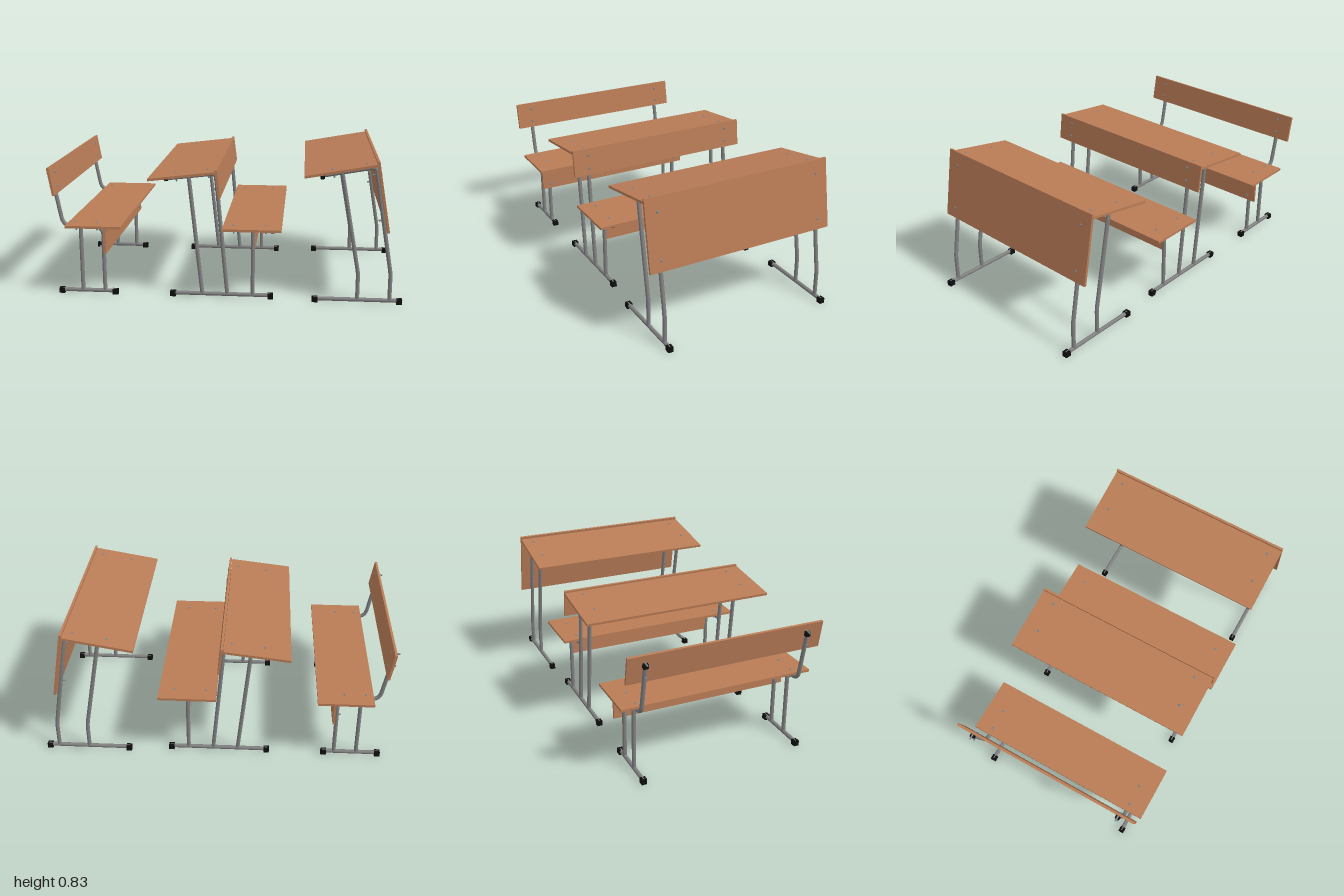
import * as THREE from 'three';

const wood = new THREE.MeshStandardMaterial({ color: 0xb97c56 });
wood.name = 'wood';
const steel = new THREE.MeshStandardMaterial({ color: 0x808080, side: THREE.DoubleSide });
steel.name = 'steel';
const black = new THREE.MeshStandardMaterial({ color: 0x0e0e0e });
black.name = 'blackPlastic';
const boltMetal = new THREE.MeshStandardMaterial({ color: 0x7c868e });
boltMetal.name = 'boltMetal';

const R = 0.0115; // tube radius
const V = (x, y, z = 0) => new THREE.Vector3(x, y, z);

function add(parent, name, geometry, material) {
  const mesh = new THREE.Mesh(geometry, material);
  mesh.name = name;
  parent.add(mesh);
  return mesh;
}

// Board whose side section runs from a to b in the xy plane
function board(parent, name, a, b, halfWidth = 0.56, thickness = 0.014) {
  const dx = b[0] - a[0], dy = b[1] - a[1];
  const m = add(parent, name, new THREE.BoxGeometry(Math.hypot(dx, dy), thickness, halfWidth * 2), wood);
  m.position.set((a[0] + b[0]) / 2, (a[1] + b[1]) / 2, 0);
  m.rotation.z = Math.atan2(dy, dx);
  return m;
}

// Round tube through points, with rounded bends
function tube(parent, name, pts, z, bend = 0.03) {
  const p = pts.map(([x, y]) => V(x, y, z));
  const path = new THREE.CurvePath();
  let from = p[0];
  for (let i = 1; i < p.length - 1; i++) {
    const start = p[i].clone().add(p[i - 1].clone().sub(p[i]).setLength(bend));
    const end = p[i].clone().add(p[i + 1].clone().sub(p[i]).setLength(bend));
    path.add(new THREE.LineCurve3(from, start));
    path.add(new THREE.QuadraticBezierCurve3(start, p[i], end));
    from = end;
  }
  path.add(new THREE.LineCurve3(from, p[p.length - 1]));
  add(parent, name, new THREE.TubeGeometry(path, pts.length > 2 ? 80 : 1, R, 14), steel);
}

// Black plug over a tube end, turned to the tube's angle
function cap(parent, name, x, y, z, angle = 0, length = 0.02, size = 0.026) {
  const m = add(parent, name, new THREE.BoxGeometry(length, size, size), black);
  m.position.set(x, y, z);
  m.rotation.z = angle;
}

// Floor bar with a plug at each end
function foot(parent, x0, x1, z) {
  tube(parent, 'footBar', [[x0 + 0.01, 0.019], [x1 - 0.01, 0.019]], z);
  for (const x of [x0 + 0.016, x1 - 0.016]) cap(parent, 'footCap', x, 0.015, z, 0, 0.032, 0.03);
}

// Bolts through board a-b and the tube behind it; side = -1 puts the tube on the other side
function bolts(parent, a, b, fractions, z, side = 1) {
  const d = V(b[0] - a[0], b[1] - a[1]);
  const n = V(-d.y, d.x).normalize().multiplyScalar(side);
  for (const t of fractions) {
    const c = V(a[0], a[1], z).addScaledVector(d, t);
    const shank = add(parent, 'bolt', new THREE.CylinderGeometry(0.005, 0.005, 0.05, 8), boltMetal);
    shank.position.copy(c).addScaledVector(n, -0.016);
    const head = add(parent, 'boltHead', new THREE.SphereGeometry(0.008, 12, 5, 0, Math.PI * 2, 0, Math.PI / 2), boltMetal);
    head.position.copy(c).addScaledVector(n, 0.007);
    head.scale.y = 0.6;
    for (const m of [shank, head]) m.quaternion.setFromUnitVectors(V(0, 1), n);
  }
}

// Bench with backrest
function bench() {
  const g = new THREE.Group();
  g.name = 'bench';
  const seat = [[-0.897, 0.422], [-0.58, 0.422]];
  const back = [[-0.952, 0.6], [-0.979, 0.757]];
  const apron = [[-0.681, 0.258], [-0.681, 0.415]];
  board(g, 'seat', ...seat);
  board(g, 'backrest', ...back);
  board(g, 'seatApron', ...apron, 0.52);
  for (const z of [-0.465, 0.465]) {
    tube(g, 'benchTube', [[-0.987, 0.71], [-0.93, 0.404], [-0.7, 0.404], [-0.7, 0.02]], z, 0.05);
    tube(g, 'rearLeg', [[-0.83, 0.404], [-0.83, 0.02]], z);
    cap(g, 'tubeCap', -0.985, 0.7, z, -1.387, 0.025);
    foot(g, -0.97, -0.623, z);
    bolts(g, ...seat, [0.13, 0.51], z);
    bolts(g, ...back, [0.25, 0.75], z, -1);
    bolts(g, ...apron, [0.2, 0.8], z, -1);
  }
  return g;
}

// Desk joined to a seat for the next row
function deskWithSeat() {
  const g = new THREE.Group();
  g.name = 'deskWithSeat';
  const top = [[-0.42, 0.701], [-0.05, 0.745]];
  const back = [[-0.024, 0.603], [-0.043, 0.762]];
  const seat = [[-0.01, 0.424], [0.32, 0.424]];
  const apron = [[0.158, 0.263], [0.158, 0.418]];
  board(g, 'deskTop', ...top);
  board(g, 'backrest', ...back);
  board(g, 'seat', ...seat);
  board(g, 'seatApron', ...apron, 0.462);
  for (const z of [-0.465, 0.465]) {
    tube(g, 'deskTube', [[-0.335, 0.692], [-0.052, 0.725], [0.012, 0.02]], z, 0.025);
    tube(g, 'deskLeg', [[-0.203, 0.705], [-0.132, 0.02]], z);
    tube(g, 'seatRail', [[-0.025, 0.405], [0.27, 0.405]], z);
    tube(g, 'seatLeg', [[0.158, 0.405], [0.158, 0.02]], z);
    cap(g, 'tubeCap', -0.33, 0.692, z, 0.118);
    cap(g, 'tubeCap', 0.268, 0.405, z);
    foot(g, -0.318, 0.275, z);
    bolts(g, ...top, [0.39, 0.88], z);
    bolts(g, ...back, [0.25, 0.75], z, -1);
    bolts(g, ...seat, [0.18, 0.73], z);
  }
  return g;
}

// Desk with a tall front panel
function frontDesk() {
  const g = new THREE.Group();
  g.name = 'frontDesk';
  const top = [[0.44, 0.733], [0.83, 0.802]];
  const panel = [[0.902, 0.431], [0.834, 0.824]];
  board(g, 'deskTop', ...top);
  board(g, 'frontPanel', ...panel);
  // Rail under the writing edge
  const rail = add(g, 'crossRail', new THREE.CylinderGeometry(R, R, 0.96, 14), steel);
  rail.rotation.x = Math.PI / 2;
  rail.position.set(0.538, 0.727, 0);
  for (const z of [-0.49, 0.49]) {
    tube(g, 'deskTube', [[0.535, 0.73], [0.827, 0.782], [0.93, 0.175], [0.93, 0.02]], z, 0.025);
    tube(g, 'deskLeg', [[0.645, 0.75], [0.75, 0.175], [0.75, 0.02]], z, 0.025);
    cap(g, 'tubeCap', 0.538, 0.727, z, 0.175, 0.024, 0.03);
    foot(g, 0.495, 1.0, z);
    bolts(g, ...top, [0.4, 0.87], z);
    bolts(g, ...panel, [0.15, 0.8], z, -1);
  }
  return g;
}

export function createModel() {
  const model = new THREE.Group();
  model.name = 'schoolDeskSet';
  model.add(bench(), deskWithSeat(), frontDesk());
  return model;
}
